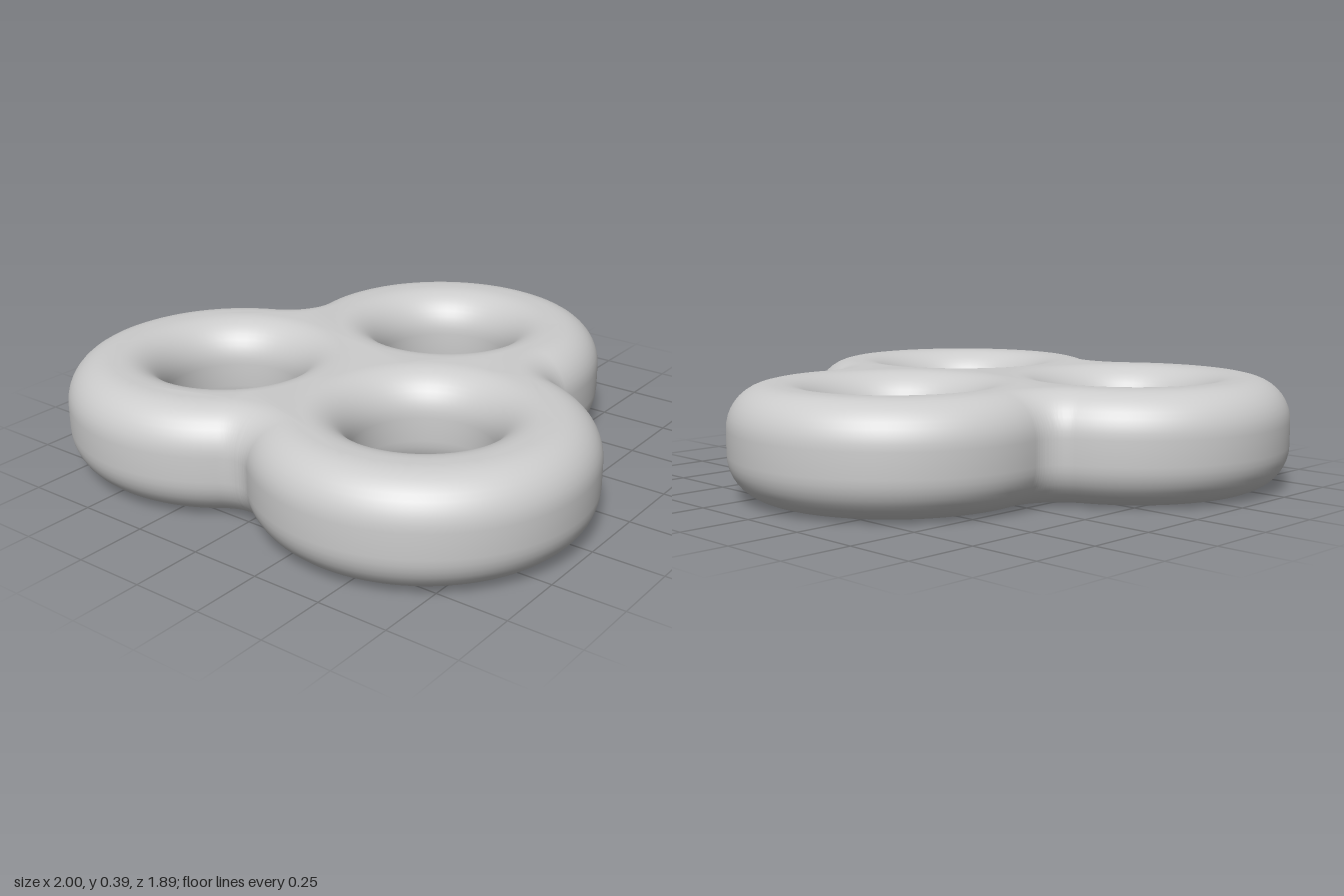
import * as THREE from 'three';
import { toCreasedNormals } from 'three/addons/utils/BufferGeometryUtils.js';

const HEIGHT = 0.386;   // total thickness
const EDGE = 0.15;      // rounding of every rim
const SPREAD = 0.483;   // lobe centre to body centre
const LOBE = 0.582;     // outer lobe radius
const HOLE = 0.243;     // hole radius
const FILLET = 0.11;    // concave blend between lobes
const CENTRE_Y = -0.115;

// Point at a given angle and distance from the body centre
const polar = (angle, distance) =>
  new THREE.Vector2(Math.cos(angle) * distance, Math.sin(angle) * distance + CENTRE_Y);

// Three round lobes joined by tangent fillets, with a hole in each lobe
function createOutline() {
  const shape = new THREE.Shape();
  const half = SPREAD * Math.sin(Math.PI / 3);
  const filletDistance = SPREAD / 2 + Math.sqrt((LOBE + FILLET) ** 2 - half ** 2);

  for (let i = 0; i < 3; i++) {
    const angle = Math.PI / 2 + i * Math.PI * 2 / 3;
    const lobe = polar(angle, SPREAD);
    const fillet = polar(angle + Math.PI / 3, filletDistance);

    // Half-sweep of the lobe, up to where it touches the fillet
    const touch = fillet.clone().sub(lobe).angle();
    const sweep = THREE.MathUtils.euclideanModulo(touch - angle, Math.PI * 2);
    shape.absarc(lobe.x, lobe.y, LOBE, angle - sweep, angle + sweep, false);

    // Fillet runs the other way, mirrored about its own direction
    const axis = angle + Math.PI / 3;
    const start = touch + Math.PI;
    shape.absarc(fillet.x, fillet.y, FILLET, start, 2 * (axis + Math.PI) - start, true);

    const hole = new THREE.Path();
    hole.absarc(lobe.x, lobe.y, HOLE, 0, Math.PI * 2, true);
    shape.holes.push(hole);
  }
  return shape;
}

export function createModel() {
  const group = new THREE.Group();
  group.name = 'threeHoleRing';

  // Rounded slab, laid flat on the floor
  const slab = new THREE.ExtrudeGeometry(createOutline(), {
    depth: HEIGHT - 2 * EDGE,
    curveSegments: 28,
    bevelEnabled: true,
    bevelThickness: EDGE,
    bevelSize: EDGE,
    bevelOffset: -EDGE,
    bevelSegments: 10,
  });
  slab.translate(0, 0, EDGE);
  slab.rotateX(-Math.PI / 2);

  const body = new THREE.Mesh(
    toCreasedNormals(slab, 1),
    new THREE.MeshStandardMaterial({ color: 0xcccccc })
  );
  body.name = 'body';
  group.add(body);
  return group;
}
